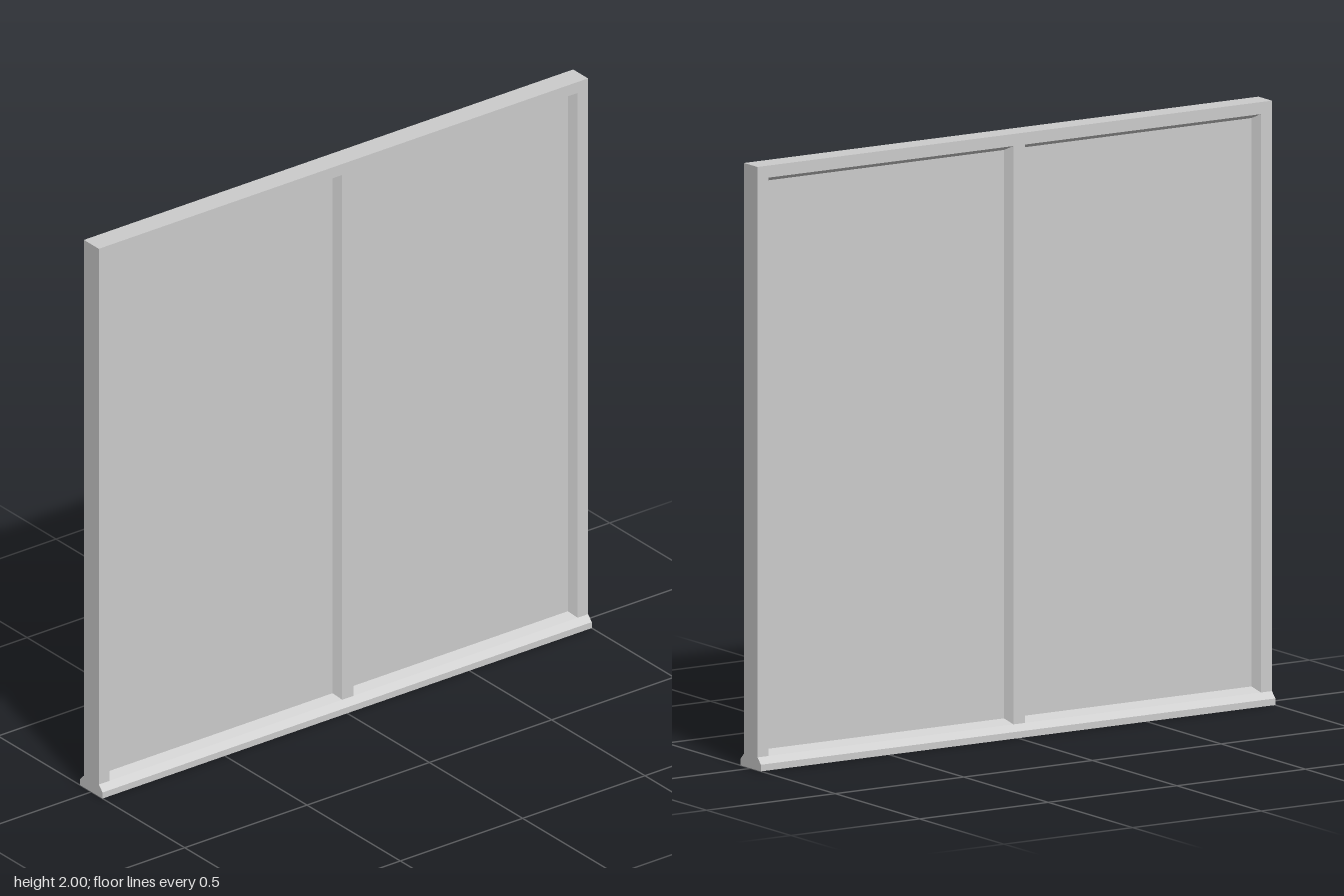
import * as THREE from 'three';

const FACE = 0.04;   // half depth of the frame
const PANE = 0.01;   // half thickness of the panes
const RIM = 0.957;   // opening edge at the frame face
const INNER = 0.94;  // opening edge at the pane

export function createModel() {
  const group = new THREE.Group();
  const material = new THREE.MeshStandardMaterial({ color: 0xcccccc, flatShading: true });

  function add(name, geometry) {
    const mesh = new THREE.Mesh(geometry, material);
    mesh.name = name;
    group.add(mesh);
  }

  function extrude(points, depth) {
    const shape = new THREE.Shape(points.map(([a, b]) => new THREE.Vector2(a, b)));
    return new THREE.ExtrudeGeometry(shape, { depth, bevelEnabled: false });
  }

  // Profile points are (x, z); the bar stands from y0 to y1
  function upright(name, points, y0, y1) {
    const geometry = extrude(points.map(([x, z]) => [x, -z]), y1 - y0);
    add(name, geometry.rotateX(-Math.PI / 2).translate(0, y0, 0));
  }

  // Profile points are (x, y); the bar runs the full width along z
  function rail(name, points) {
    add(name, extrude(points, 2).translate(0, 0, -1));
  }

  // Side jambs with chamfered reveals
  for (const s of [1, -1]) {
    upright(s > 0 ? 'frontJamb' : 'backJamb', [
      [FACE, s], [FACE, s * RIM], [PANE, s * INNER],
      [-PANE, s * INNER], [-FACE, s * RIM], [-FACE, s],
    ], 0.02, 1.99);
  }

  // Central mullion, its two faces offset in opposite directions
  const half = [[FACE, 0.005], [FACE, -0.04], [PANE, -0.057]];
  const halfEnd = [PANE, 0.022];
  upright('mullion', [
    ...half, [-PANE, -0.022],
    ...half.map(([x, z]) => [-x, -z]), halfEnd,
  ], 0.02, 1.98);

  // Head rail
  rail('headRail', [
    [FACE, 2], [FACE, 1.96], [PANE, 1.944],
    [-PANE, 1.944], [-FACE, 1.96], [-FACE, 2],
  ]);

  // Sill with sloping shoulders
  rail('sill', [
    [0.06, 0], [0.06, 0.022], [FACE, 0.043], [PANE, 0.06],
    [-PANE, 0.06], [-FACE, 0.043], [-0.06, 0.022], [-0.06, 0],
  ]);

  // Panes, tucked into the frame and mullion
  for (const s of [1, -1]) {
    const pane = new THREE.BoxGeometry(PANE * 2, 1.9, 0.95);
    add(s > 0 ? 'frontPane' : 'backPane', pane.translate(0, 1, s * 0.475));
  }

  return group;
}
